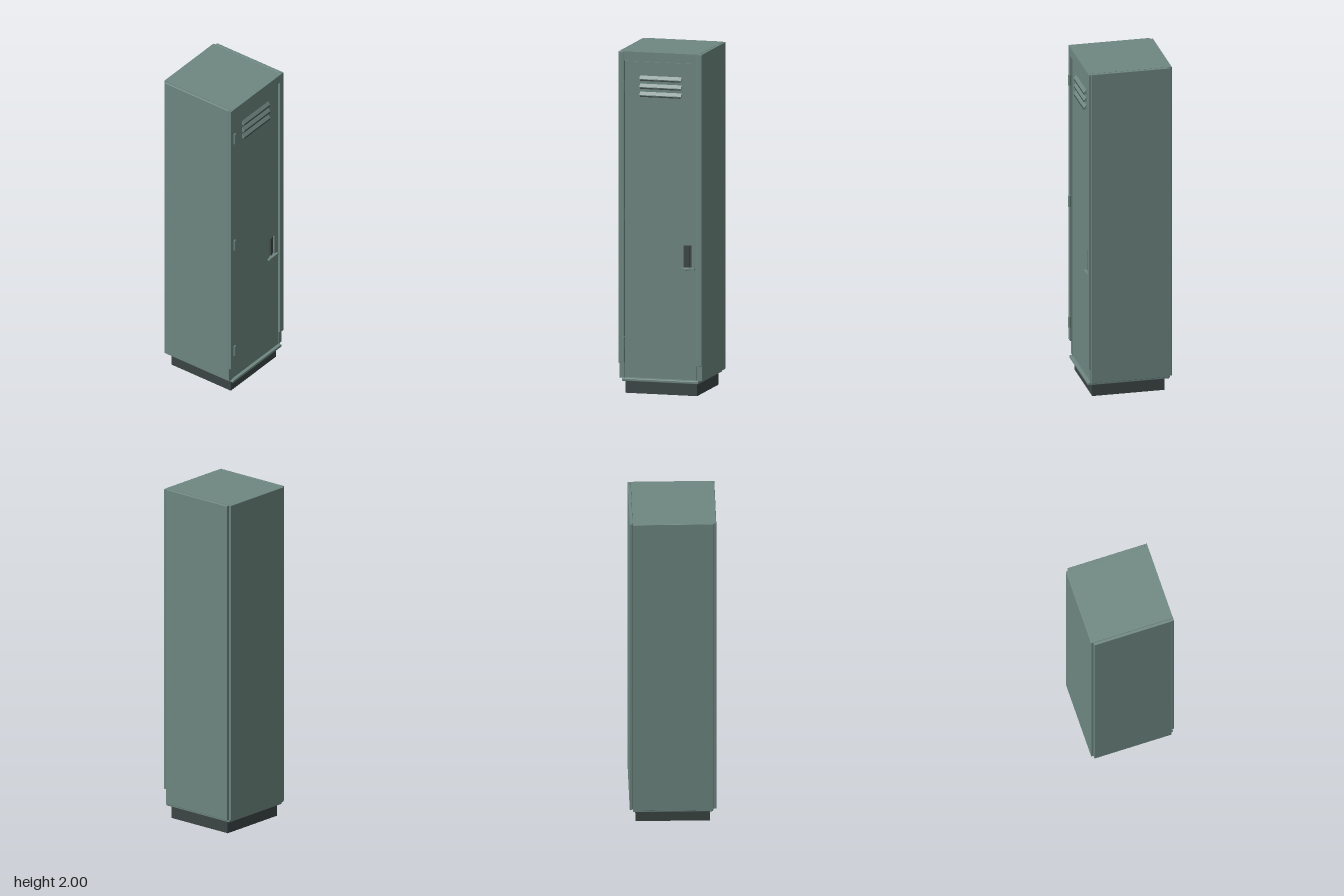
import * as THREE from 'three';
import { RoundedBoxGeometry } from 'three/addons/geometries/RoundedBoxGeometry.js';

export function createModel() {
  const group = new THREE.Group();
  const paint = new THREE.MeshStandardMaterial({ color: 0x6f8781 });
  paint.name = 'greyGreenPaint';
  const dark = new THREE.MeshStandardMaterial({ color: 0x3b4644 });
  dark.name = 'darkSteel';

  const add = (name, geometry, material = paint) => {
    const mesh = new THREE.Mesh(geometry, material);
    mesh.name = name;
    group.add(mesh);
    return mesh;
  };
  // Box given by its limits on each axis, optionally with rounded edges
  const slab = (name, [x0, x1], [y0, y1], [z0, z1], material = paint, r = 0) => {
    const size = [x1 - x0, y1 - y0, z1 - z0];
    const geo = r ? new RoundedBoxGeometry(...size, 2, r) : new THREE.BoxGeometry(...size);
    return add(name, geo.translate((x0 + x1) / 2, (y0 + y1) / 2, (z0 + z1) / 2), material);
  };

  // Plinth and floor tray
  slab('plinth', [-0.215, 0.215], [0, 0.075], [-0.215, 0.215], dark);
  slab('floorTray', [-0.23, 0.23], [0.073, 0.09], [-0.24, 0.244], paint, 0.004);

  // Cabinet panels
  slab('backPanel', [-0.232, 0.232], [0.09, 2], [-0.254, -0.238], paint, 0.002);
  slab('roof', [-0.232, 0.232], [1.984, 2], [-0.252, 0.235]);
  for (const [name, s] of [['left', 1], ['right', -1]]) {
    const side = (a, b) => [Math.min(a * s, b * s), Math.max(a * s, b * s)];
    slab(name + 'SidePanel', side(0.232, 0.25), [0.09, 2], [-0.24, 0.228], paint, 0.003);
    slab(name + 'FramePost', side(0.217, 0.25), [0.18, 2], [0.229, 0.243], paint, 0.002);
    slab(name + 'FrameReturn', side(0.219, 0.234), [0.09, 1.99], [0.205, 0.229]);
  }
  slab('frameHeader', [-0.217, 0.217], [1.946, 2], [0.229, 0.243]);

  // Door with an opening for the latch pocket
  const door = new THREE.Shape();
  door.moveTo(-0.216, 0.094).lineTo(0.216, 0.094).lineTo(0.216, 1.942).lineTo(-0.216, 1.942).closePath();
  const hole = new THREE.Path();
  hole.moveTo(0.137, 0.75).lineTo(0.137, 0.88).lineTo(0.185, 0.88).lineTo(0.185, 0.75).closePath();
  door.holes.push(hole);
  add('door', new THREE.ExtrudeGeometry(door, { depth: 0.014, bevelEnabled: false }).translate(0, 0, 0.214));

  // Latch pocket, lift bar and ledge
  slab('latchPocket', [0.135, 0.187], [0.748, 0.882], [0.206, 0.216], dark);
  slab('latchBar', [0.153, 0.169], [0.752, 0.87], [0.214, 0.225], dark);
  slab('latchLedge', [0.118, 0.205], [0.737, 0.75], [0.222, 0.242], paint, 0.002);

  // Sloping vent louvres: wedge sections swept across the door
  const wedge = new THREE.Shape();
  wedge.moveTo(0, 0).lineTo(0.014, 0).lineTo(0.014, 0.008).lineTo(0, 0.026).closePath();
  for (const y of [1.835, 1.788, 1.741]) {
    const geo = new THREE.ExtrudeGeometry(wedge, { depth: 0.25, bevelEnabled: false });
    geo.rotateY(-Math.PI / 2).translate(0.125, y, 0.228);
    add('ventLouvre', geo);
    slab('louvreSlot', [-0.122, 0.122], [y - 0.003, y + 0.004], [0.236, 0.2425], dark);
  }

  // Hinge knuckles
  for (const y of [1.795, 1.045, 0.298]) {
    add('hinge', new THREE.CylinderGeometry(0.008, 0.008, 0.068, 16)).position.set(-0.218, y, 0.245);
  }
  return group;
}
